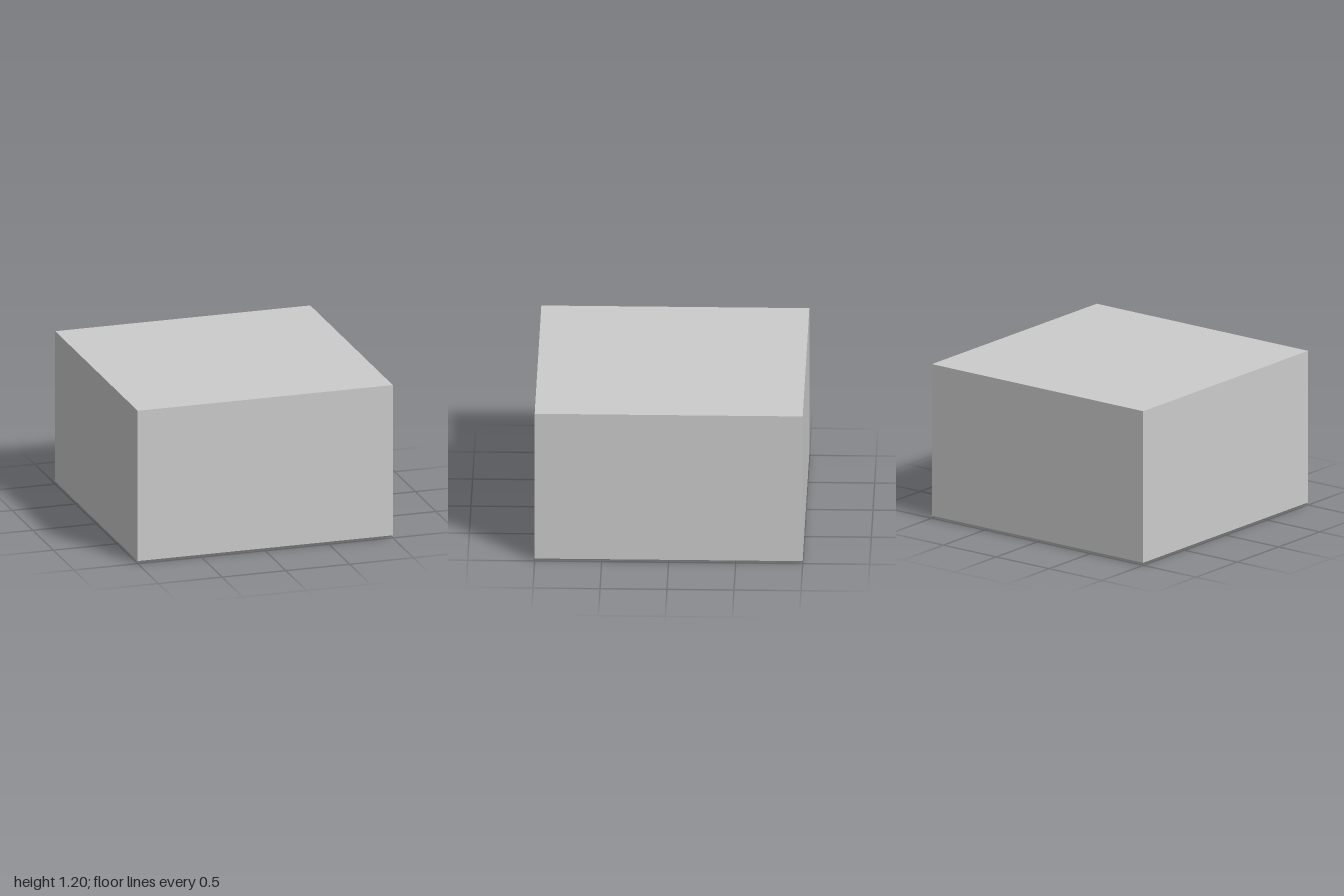
import * as THREE from 'three';

const HEIGHT = 1.2;
const BEVEL = 0.02;

// Bottom panels divided by V-grooves: [x0, x1, z0, z1]
const PANELS = [
  [-1, 1, 0.5, 1],
  [-1, -0.5, -1, 0.5],
  [-0.5, 1, 0, 0.5],
  [-0.5, 0, -1, 0],
  [0, 1, -0.5, 0],
  [0, 0.5, -1, -0.5],
  [0.5, 1, -1, -0.5],
];

// Thin slab whose underside is inset on all four sides
function bevelledPanel(x0, x1, z0, z1) {
  const geometry = new THREE.BoxGeometry(x1 - x0, BEVEL, z1 - z0);
  const p = geometry.attributes.position;
  for (let i = 0; i < p.count; i++) {
    if (p.getY(i) > 0) continue;
    p.setX(i, p.getX(i) - Math.sign(p.getX(i)) * BEVEL);
    p.setZ(i, p.getZ(i) - Math.sign(p.getZ(i)) * BEVEL);
  }
  geometry.computeVertexNormals();
  geometry.translate((x0 + x1) / 2, BEVEL / 2, (z0 + z1) / 2);
  return geometry;
}

export function createModel() {
  const group = new THREE.Group();
  group.name = 'blockWithPanelledBase';
  const material = new THREE.MeshStandardMaterial({ color: 0xcccccc, flatShading: true });

  // Main block
  const body = new THREE.Mesh(new THREE.BoxGeometry(2, HEIGHT - BEVEL, 2), material);
  body.name = 'body';
  body.position.y = (HEIGHT + BEVEL) / 2;
  group.add(body);

  // Bevelled panels under the block
  const base = new THREE.Group();
  base.name = 'basePanels';
  PANELS.forEach((bounds, i) => {
    const panel = new THREE.Mesh(bevelledPanel(...bounds), material);
    panel.name = `basePanel${i + 1}`;
    base.add(panel);
  });
  group.add(base);

  return group;
}
